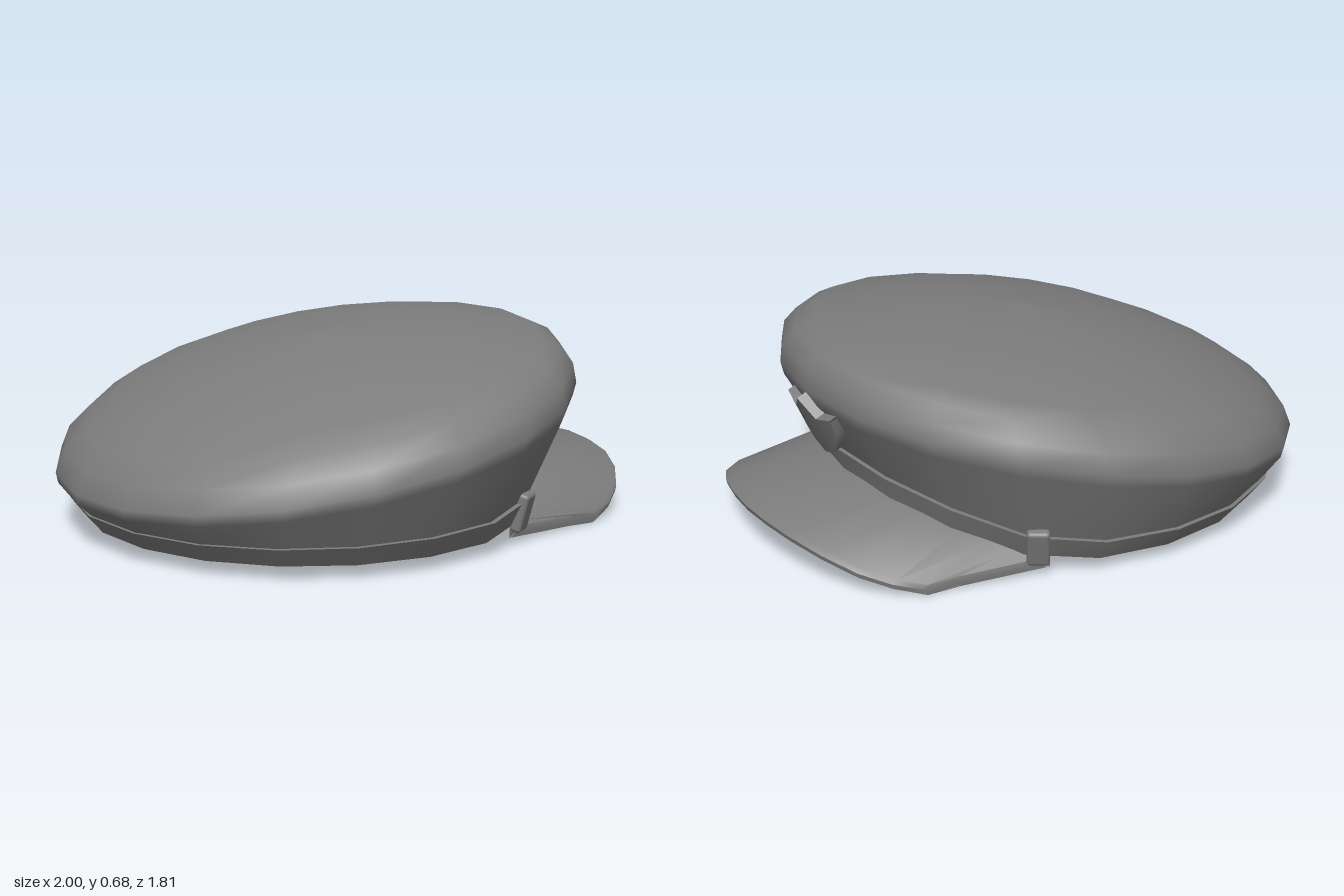
import * as THREE from 'three';
import { toCreasedNormals } from 'three/addons/utils/BufferGeometryUtils.js';
import { RoundedBoxGeometry } from 'three/addons/geometries/RoundedBoxGeometry.js';

const SIDES = 20;
const material = new THREE.MeshStandardMaterial({ color: 0x7c7c7c, side: THREE.DoubleSide });

// Skin a list of closed rings (each an array of [x, y, z])
function loft(rings) {
  const n = rings[0].length;
  const index = [];
  for (let i = 0; i < rings.length - 1; i++) {
    for (let j = 0; j < n; j++) {
      const a = i * n + j, b = i * n + (j + 1) % n;
      index.push(a, a + n, b, b, a + n, b + n);
    }
  }
  const geometry = new THREE.BufferGeometry();
  geometry.setAttribute('position', new THREE.Float32BufferAttribute(rings.flat(2), 3));
  geometry.setIndex(index);
  geometry.computeVertexNormals();
  return geometry;
}

// Elliptical ring; height is a function of the angle, measured from the front (+x)
function ring(cx, rx, rz, height) {
  return Array.from({ length: SIDES }, (_, j) => {
    const a = (j / SIDES) * Math.PI * 2;
    return [cx + rx * Math.cos(a), height(a), rz * Math.sin(a)];
  });
}

// The band arches upward over the visor
function arch(a) {
  const d = Math.abs(Math.atan2(Math.sin(a), Math.cos(a)));
  return d < Math.PI / 3 ? Math.cos(1.5 * d) : 0;
}
const bandBottom = a => 0.05 + 0.15 * arch(a);
const bandTop = a => 0.123 + 0.012 * Math.cos(a) + 0.15 * arch(a);
const tilted = (y, t) => a => y + t * Math.cos(a);

function add(group, name, geometry) {
  const mesh = new THREE.Mesh(geometry, material);
  mesh.name = name;
  group.add(mesh);
  return mesh;
}

export function createModel() {
  const cap = new THREE.Group();
  cap.name = 'peakedCap';

  // Crown: flaring wall, rounded rim and a domed top sloping to the back
  add(cap, 'crown', loft([
    ring(-0.145, 0.79, 0.795, a => bandTop(a) - 0.01),
    ring(-0.117, 0.877, 0.893, tilted(0.315, 0.16)),
    ring(-0.115, 0.885, 0.905, tilted(0.355, 0.165)),
    ring(-0.105, 0.865, 0.883, tilted(0.425, 0.16)),
    ring(-0.09, 0.81, 0.825, tilted(0.485, 0.15)),
    ring(-0.065, 0.725, 0.745, tilted(0.535, 0.125)),
    ring(-0.055, 0.525, 0.54, tilted(0.597, 0.083)),
    ring(-0.07, 0.28, 0.29, tilted(0.635, 0.046)),
    ring(-0.08, 0.001, 0.001, tilted(0.65, 0)),
  ]));

  // Band: thin strip with an inner face
  add(cap, 'band', toCreasedNormals(loft([
    ring(-0.135, 0.762, 0.757, a => bandBottom(a) + 0.06),
    ring(-0.135, 0.762, 0.757, bandBottom),
    ring(-0.135, 0.775, 0.77, bandBottom),
    ring(-0.145, 0.811, 0.817, bandTop),
    ring(-0.145, 0.785, 0.79, bandTop),
  ]), 0.7));

  // Visor: half outline as [band angle in degrees, outer x, outer top y, outer z]
  const half = [
    [0, 0.99, 0.172, 0],
    [9, 0.98, 0.168, 0.12],
    [18, 0.955, 0.157, 0.24],
    [28, 0.905, 0.131, 0.36],
    [38, 0.83, 0.093, 0.465],
    [46, 0.745, 0.062, 0.535],
    [52, 0.66, 0.038, 0.576],
    [56, 0.55, 0.045, 0.59],
    [60, 0.26, 0.062, 0.655],
  ];
  const mirrored = half.slice(1).reverse().map(([d, x, y, z]) => [-d, x, y, -z]);
  const stations = [...mirrored, ...half].map(([deg, x, y, z]) => {
    const a = THREE.MathUtils.degToRad(deg);
    const ix = -0.135 + 0.765 * Math.cos(a), iz = 0.76 * Math.sin(a);
    const iy = bandBottom(a) + 0.008;
    const bx = x + (ix - x) * 0.03, bz = z + (iz - z) * 0.03;
    return [
      [ix, iy, iz],
      [bx, y, bz],
      [x + 0.01, y - 0.012, z],
      [x + 0.005, y - 0.029, z],
      [bx, y - 0.036, bz],
      [ix, iy - 0.032, iz],
    ];
  });
  add(cap, 'visor', toCreasedNormals(loft(stations), 0.6));

  // Strap loops at both ends of the visor
  for (const side of [1, -1]) {
    const a = side * THREE.MathUtils.degToRad(57);
    const name = side > 0 ? 'leftLoop' : 'rightLoop';
    const loop = add(cap, name, new RoundedBoxGeometry(0.075, 0.135, 0.04, 2, 0.012));
    loop.position.set(-0.135 + 0.79 * Math.cos(a), 0.112, 0.79 * Math.sin(a));
    loop.rotation.set(0.25, Math.PI / 2 - a, 0, 'YXZ');
  }

  // Front badge: pointed shield bent around the crown wall, as columns [x, bottom, top]
  const columns = [[0, 0, 0.235], [0.07, 0.026, 0.172], [0.105, 0.055, 0.179], [0.137, 0.115, 0.186], [0.15, 0.18, 0.188]];
  const allColumns = [...columns.slice(1).reverse().map(([x, b, t]) => [-x, b, t]), ...columns];
  const badge = add(cap, 'badge', toCreasedNormals(loft(allColumns.map(([x, b, t]) => {
    const back = -x * x, front = back + 0.035;
    return [[x, b, front], [x, t, front], [x, t, back], [x, b, back]];
  })), 0.6));
  badge.position.set(0.674, 0.298, 0);
  badge.rotation.set(0.42, Math.PI / 2, 0, 'YXZ');

  return cap;
}
